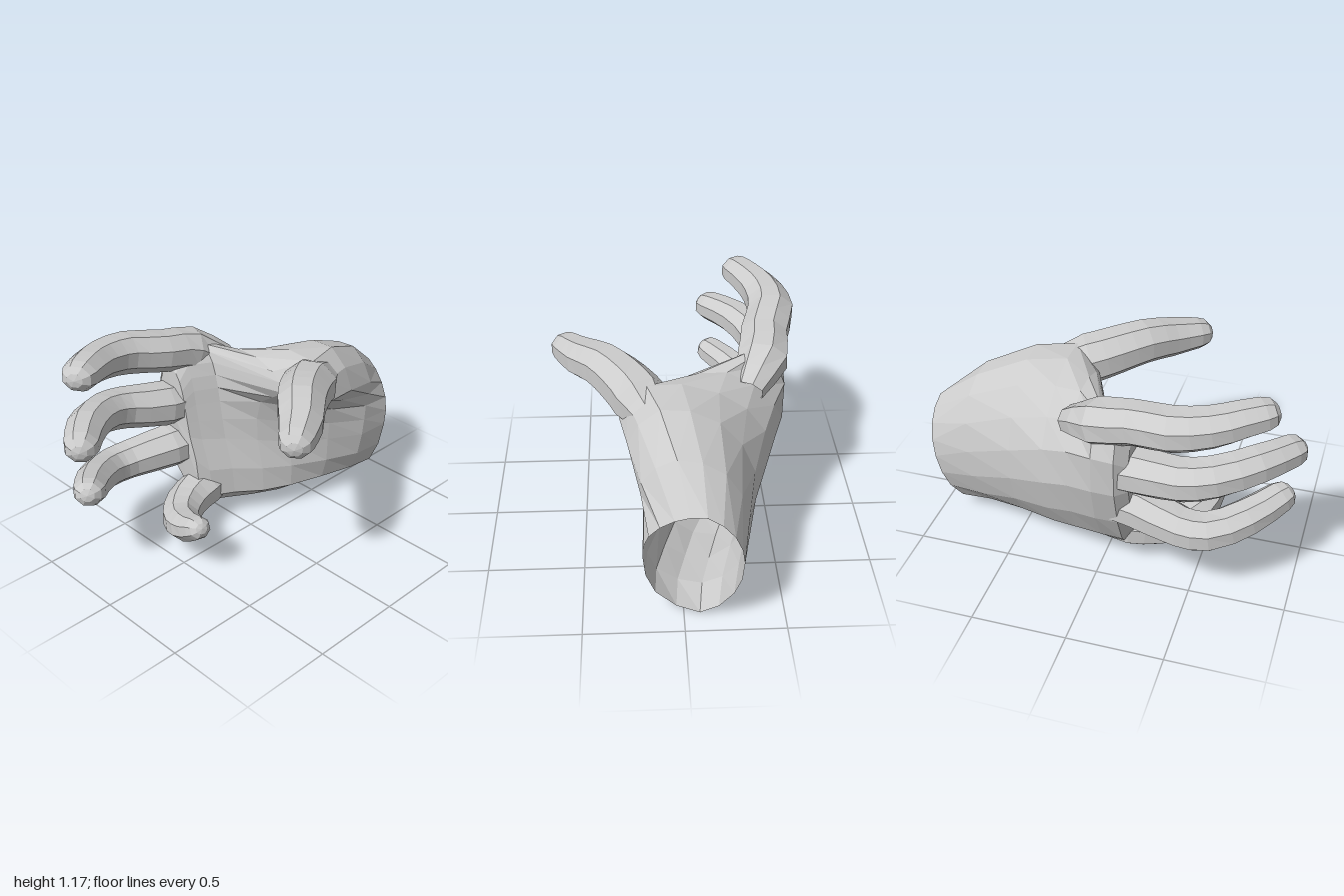
import * as THREE from 'three';

const material = new THREE.MeshStandardMaterial({ color: 0xcccccc, flatShading: true, side: THREE.DoubleSide });

// Skin a list of rings (each an array of Vector3), closing the far end with a fan
function skin(name, rings, tip) {
  const n = rings[0].length;
  const position = rings.flat().concat(tip).flatMap((p) => [p.x, p.y, p.z]);
  const index = [];
  for (let i = 0; i < rings.length; i++) {
    for (let j = 0; j < n; j++) {
      const a = i * n + j, b = i * n + (j + 1) % n;
      if (i === rings.length - 1) index.push(a, b, rings.length * n);
      else index.push(a, b, b + n, a, b + n, a + n);
    }
  }
  const indexed = new THREE.BufferGeometry();
  indexed.setAttribute('position', new THREE.Float32BufferAttribute(position, 3));
  indexed.setIndex(index);
  const geometry = indexed.toNonIndexed();
  geometry.computeVertexNormals();
  const mesh = new THREE.Mesh(geometry, material);
  mesh.name = name;
  return mesh;
}

// Finger: a bent tapering tube through [x, y, z, radius] joints with a rounded tip
function finger(name, joints, wide = 1.12, sides = 8) {
  const curve = new THREE.CatmullRomCurve3(joints.map((j) => new THREE.Vector3(j[0], j[1], j[2])));
  const up = new THREE.Vector3(0, 1, 0);
  const rings = [];
  const ring = (center, t, r) => {
    const u = up.clone().cross(t).normalize();
    const v = t.clone().cross(u);
    rings.push(Array.from({ length: sides }, (_, k) => {
      const a = ((k + 0.5) / sides) * Math.PI * 2;
      return center.clone().addScaledVector(u, Math.cos(a) * r * wide).addScaledVector(v, Math.sin(a) * r);
    }));
  };
  const spans = joints.length - 1, steps = spans * 2;
  for (let i = 0; i <= steps; i++) {
    const s = i / steps, k = Math.min(Math.floor(s * spans), spans - 1);
    const r = THREE.MathUtils.lerp(joints[k][3], joints[k + 1][3], s * spans - k);
    ring(curve.getPoint(s), curve.getTangent(s), r);
  }
  const end = curve.getPoint(1), t = curve.getTangent(1), r = joints[spans][3];
  for (const a of [0.6, 1.1]) ring(end.clone().addScaledVector(t, r * Math.sin(a)), t, r * Math.cos(a));
  return skin(name, rings, end.clone().addScaledVector(t, r));
}

// Palm: smooth closed profiles joined along z, wrist cut on a slant, knuckle end rounded shut
function palm(sections, sides = 18) {
  const rings = sections.map(([z, ...profile]) => {
    const outline = new THREE.CatmullRomCurve3(profile.map(([x, y]) => new THREE.Vector3(x, y, z)), true);
    const slant = Math.max(0, (-z - 0.45) / 0.48);
    return outline.getPoints(sides).slice(0, sides).map((p) => {
      p.z += slant * 0.2 * (p.x - p.y + 0.35);
      return p;
    });
  });
  const last = rings[rings.length - 1];
  const tip = last.reduce((sum, p) => sum.add(p), new THREE.Vector3()).divideScalar(sides);
  tip.z += 0.08;
  rings.push(last.map((p) => {
    const q = p.clone().lerp(tip, 0.25);
    q.z = tip.z - 0.02;
    return q;
  }));
  return skin('palm', rings, tip);
}

export function createModel() {
  const hand = new THREE.Group();
  hand.name = 'hand';

  // Each profile: palm, thumb muscle, thumb side, web, upper back, back, lower back, heel edge, heel
  hand.add(palm([
    [-0.92, [0.2, 0.38], [0.17, 0.53], [0.05, 0.65], [-0.1, 0.69], [-0.23, 0.58], [-0.28, 0.4], [-0.24, 0.18], [-0.08, 0.005], [0.14, 0.13]],
    [-0.72, [0.19, 0.38], [0.19, 0.56], [0.2, 0.71], [0.03, 0.86], [-0.2, 0.78], [-0.32, 0.5], [-0.28, 0.2], [-0.1, 0.05], [0.13, 0.14]],
    [-0.5, [0.11, 0.4], [0.13, 0.6], [0.26, 0.77], [0.1, 0.97], [-0.19, 0.89], [-0.37, 0.6], [-0.34, 0.26], [-0.15, 0.05], [0.08, 0.14]],
    [-0.3, [0, 0.42], [0.06, 0.66], [0.3, 0.8], [0.16, 0.98], [-0.2, 0.93], [-0.44, 0.7], [-0.41, 0.3], [-0.2, 0.045], [0.02, 0.14]],
    [-0.15, [-0.1, 0.45], [-0.08, 0.7], [0.09, 0.82], [0.01, 0.92], [-0.25, 0.96], [-0.5, 0.76], [-0.46, 0.35], [-0.25, 0.06], [-0.05, 0.14]],
    [0, [-0.2, 0.48], [-0.24, 0.7], [-0.27, 0.85], [-0.33, 0.97], [-0.45, 1.0], [-0.57, 0.8], [-0.51, 0.38], [-0.28, 0.075], [-0.13, 0.16]],
    [0.12, [-0.26, 0.5], [-0.3, 0.7], [-0.33, 0.85], [-0.39, 0.97], [-0.48, 0.99], [-0.58, 0.8], [-0.51, 0.38], [-0.32, 0.09], [-0.18, 0.17]],
  ]));

  hand.add(finger('thumb', [
    [0.12, 0.84, -0.42, 0.09], [0.19, 0.875, -0.25, 0.135], [0.27, 0.905, -0.12, 0.128],
    [0.37, 0.925, 0.01, 0.118], [0.48, 0.91, 0.13, 0.106], [0.57, 0.905, 0.255, 0.085],
  ], 1.1));

  hand.add(finger('indexFinger', [
    [-0.36, 0.86, -0.17, 0.07], [-0.45, 0.945, 0.01, 0.118], [-0.475, 0.99, 0.2, 0.11],
    [-0.53, 1.03, 0.4, 0.11], [-0.505, 1.06, 0.57, 0.1], [-0.44, 1.085, 0.7, 0.09], [-0.385, 1.095, 0.79, 0.082],
  ], 1.18));

  hand.add(finger('middleFinger', [
    [-0.43, 0.67, 0.02, 0.11], [-0.45, 0.69, 0.22, 0.12], [-0.51, 0.73, 0.45, 0.11],
    [-0.49, 0.765, 0.6, 0.104], [-0.38, 0.8, 0.78, 0.096], [-0.24, 0.81, 0.92, 0.082],
  ]));

  hand.add(finger('ringFinger', [
    [-0.39, 0.44, 0.02, 0.11], [-0.42, 0.435, 0.22, 0.117], [-0.49, 0.415, 0.45, 0.103],
    [-0.49, 0.42, 0.58, 0.1], [-0.39, 0.47, 0.75, 0.092], [-0.25, 0.525, 0.89, 0.077],
  ]));

  hand.add(finger('littleFinger', [
    [-0.28, 0.2, -0.06, 0.08], [-0.27, 0.185, 0.12, 0.112], [-0.23, 0.175, 0.27, 0.103],
    [-0.13, 0.185, 0.4, 0.092], [0, 0.23, 0.47, 0.083], [0.115, 0.29, 0.5, 0.064],
  ]));

  return hand;
}
